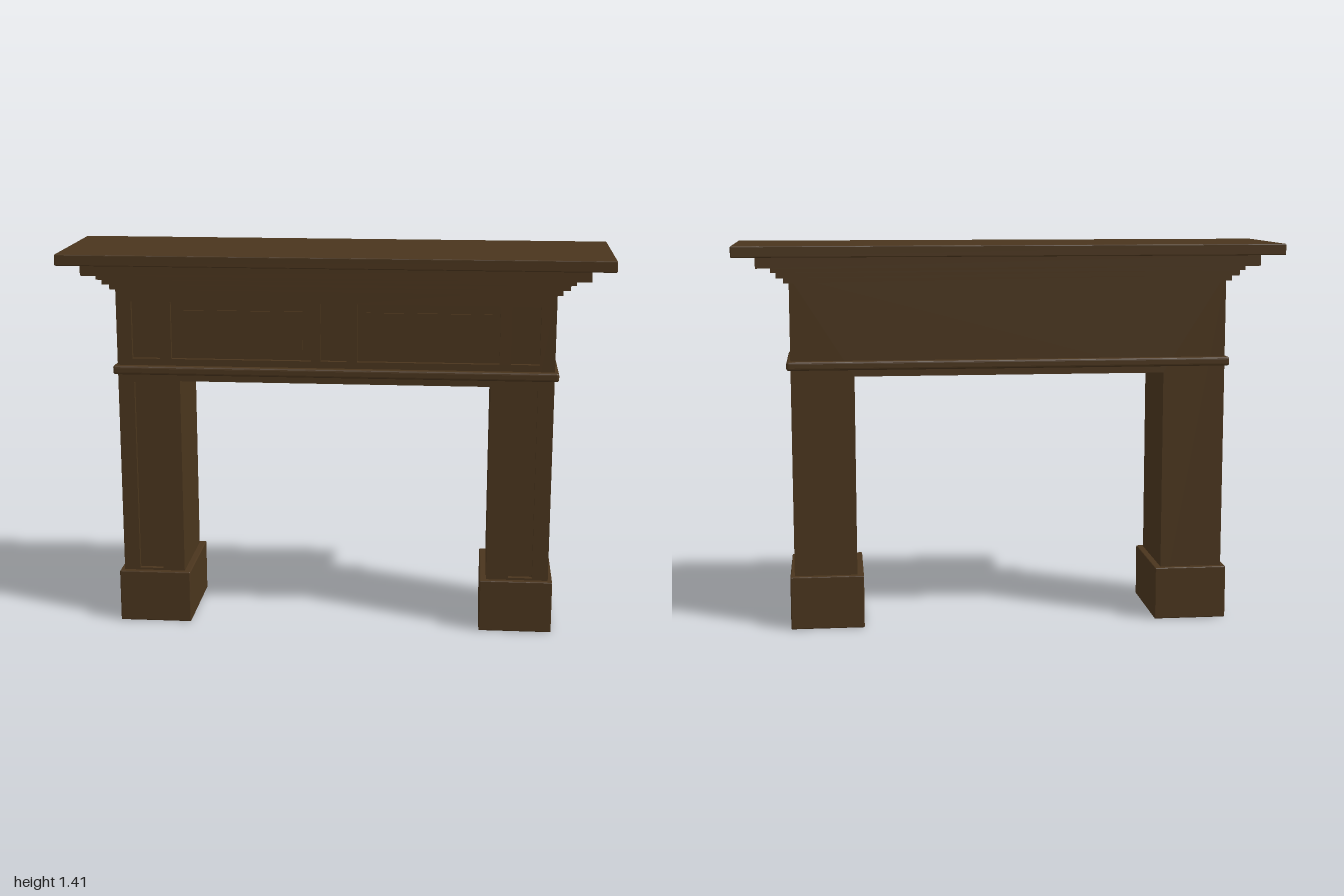
import * as THREE from 'three';
import { RoundedBoxGeometry } from 'three/addons/geometries/RoundedBoxGeometry.js';

export function createModel() {
  const model = new THREE.Group();
  model.name = 'fireplaceSurround';
  const wood = new THREE.MeshStandardMaterial({ color: 0x4a351d, flatShading: true });

  const add = (name, geometry, x = 0, y = 0, z = 0) => {
    const mesh = new THREE.Mesh(geometry, wood);
    mesh.name = name;
    mesh.position.set(x, y, z);
    model.add(mesh);
  };
  // Box given by its vertical range; a bevel softens its edges
  const slab = (name, w, y0, y1, d, bevel = 0, x = 0) => {
    const h = y1 - y0;
    const geometry = bevel
      ? new RoundedBoxGeometry(w, h, d, 2, bevel)
      : new THREE.BoxGeometry(w, h, d);
    add(name, geometry, x, (y0 + y1) / 2);
  };

  // Portal outline shared by the core and the panelled face
  const halfW = 0.8, halfD = 0.17, opening = 0.57, soffit = 0.935, top = 1.3;
  const portal = () => new THREE.Shape([
    [-halfW, 0], [-opening, 0], [-opening, soffit], [opening, soffit],
    [opening, 0], [halfW, 0], [halfW, top], [-halfW, top],
  ].map(([x, y]) => new THREE.Vector2(x, y)));

  // Recessed panels: x0, x1, y0, y1
  const recess = 0.018;
  const panels = [[-0.05, 0.045, 1.018, 1.23]];
  for (const s of [-1, 1]) {
    panels.push(
      [s * 0.642, s * 0.745, 1.018, 1.23],
      [s * 0.084, s * 0.6, 1.018, 1.23],
      [s * 0.652, s * 0.741, 0.205, 0.928],
    );
  }
  const face = portal();
  for (const [x0, x1, y0, y1] of panels) {
    face.holes.push(new THREE.Path([
      new THREE.Vector2(x0, y0), new THREE.Vector2(x0, y1),
      new THREE.Vector2(x1, y1), new THREE.Vector2(x1, y0),
    ]));
  }

  // Solid legs and lintel, with the panelled face in front
  const extrude = (shape, depth) =>
    new THREE.ExtrudeGeometry(shape, { depth, bevelEnabled: false });
  add('portalCore', extrude(portal(), 2 * halfD - recess), 0, 0, -halfD);
  add('panelledFace', extrude(face, recess), 0, 0, halfD - recess);

  // Plinths and the raised fields of the wide frieze panels
  for (const s of [-1, 1]) {
    const side = s > 0 ? 'left' : 'right';
    slab(side + 'Plinth', 0.27, 0, 0.197, 0.382, 0.004, s * 0.681);
    add(side + 'PanelField', new THREE.BoxGeometry(0.454, 0.142, 0.012),
      s * 0.343, 1.127, halfD - recess);
  }

  // Moulding band around the lintel
  slab('band', 1.63, 0.96, 0.993, 0.382, 0.009);

  // Stepped cornice: width, bottom, top, depth
  [
    [1.64, 1.274, 1.294, 0.356],
    [1.69, 1.294, 1.313, 0.384],
    [1.728, 1.313, 1.33, 0.402],
    [1.832, 1.33, 1.37, 0.442],
  ].forEach(([w, y0, y1, d], i) => slab('corniceStep' + (i + 1), w, y0, y1, d));

  // Mantel shelf
  slab('mantelShelf', 2, 1.37, 1.411, 0.514, 0.004);

  return model;
}
